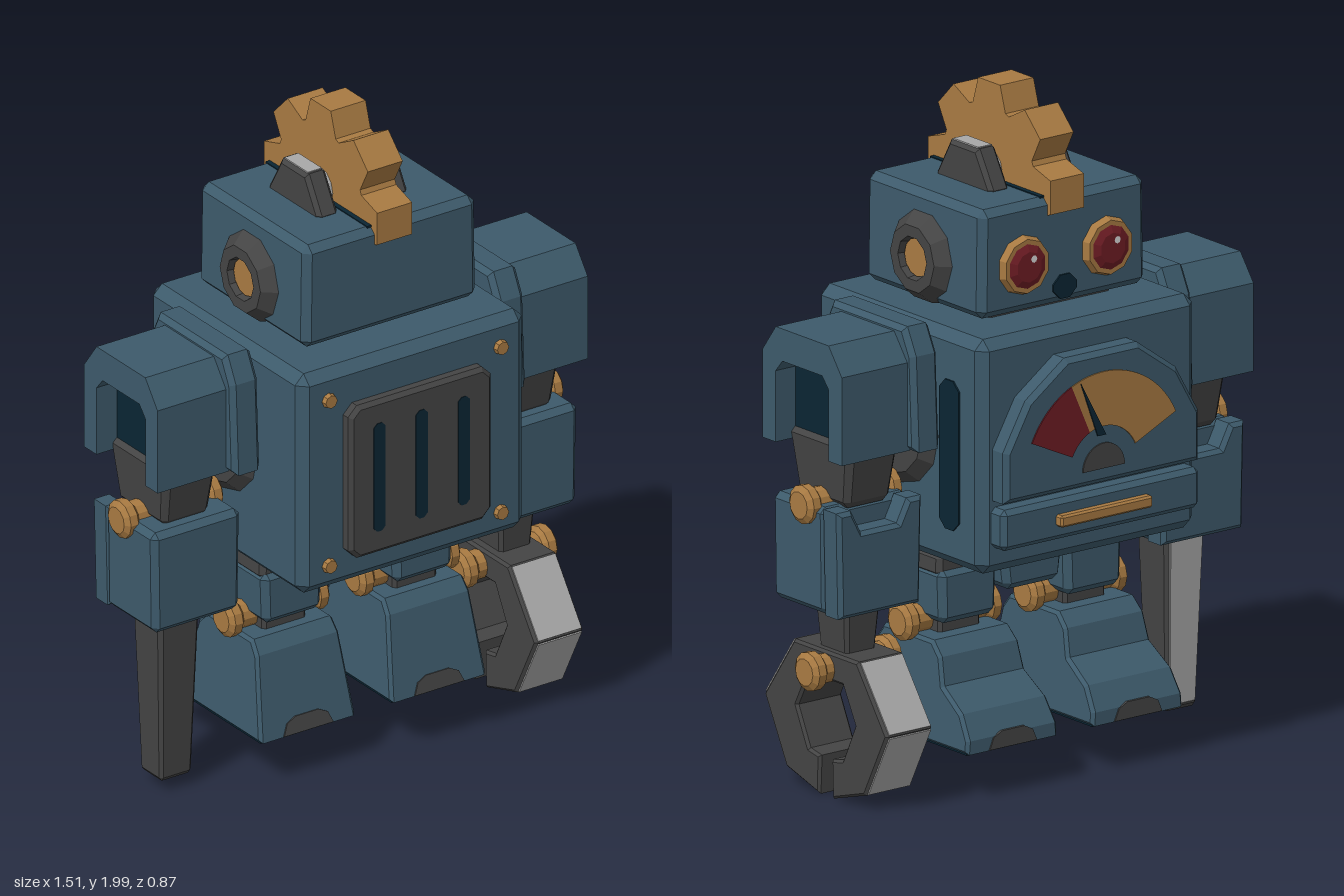
import * as THREE from 'three';
import { ConvexGeometry } from 'three/addons/geometries/ConvexGeometry.js';

const mat = (name, color) => {
  const m = new THREE.MeshStandardMaterial({ color });
  m.name = name;
  return m;
};

export function createModel() {
  const root = new THREE.Group();
  root.name = 'robot';
  const blue = mat('blue paint', 0x3d5a6b), dark = mat('dark steel', 0x444444);
  const silver = mat('silver', 0xa8a8a8), gold = mat('brass', 0xa87a42);
  const navy = mat('dark recess', 0x0a2533), red = mat('red glass', 0x6e1c24);
  const white = mat('glint', 0xd8d8d8);

  // Adds a faceted mesh
  const add = (name, geo, material, x = 0, y = 0, z = 0, parent = root) => {
    const g = geo.index ? geo.toNonIndexed() : geo;
    g.computeVertexNormals();
    const m = new THREE.Mesh(g, material);
    m.name = name;
    m.position.set(x, y, z);
    parent.add(m);
    return m;
  };

  // Chamfered box; bottom face scaled by bx, bz, top face by tx, tz
  const box = (w, h, d, c = 0.02, { bx = 1, bz = 1, tx = 1, tz = 1 } = {}) => {
    const pts = [];
    for (const sx of [-1, 1]) for (const sy of [-1, 1]) for (const sz of [-1, 1])
      for (let k = 0; k < 3; k++) {
        const x = sx * (w / 2 - (k === 0 ? 0 : c));
        const y = sy * (h / 2 - (k === 1 ? 0 : c));
        const z = sz * (d / 2 - (k === 2 ? 0 : c));
        const t = y / h + 0.5;
        pts.push(new THREE.Vector3(x * (bx + (tx - bx) * t), y, z * (bz + (tz - bz) * t)));
      }
    return new ConvexGeometry(pts);
  };

  const shapeOf = (pts) => new THREE.Shape(pts.map((p) => new THREE.Vector2(...p)));
  const mirrorPts = (pts) => [...pts, ...pts.map(([a, b]) => [-a, b]).reverse()];

  // Extrusion along z, centred, with an optional inward bevel
  const slab = (shape, depth, b = 0) => new THREE.ExtrudeGeometry(shape, {
    depth: depth - 2 * b, bevelEnabled: b > 0, bevelSize: b, bevelOffset: -b,
    bevelThickness: b, bevelSegments: 1, curveSegments: 10,
  }).translate(0, 0, -depth / 2 + b);
  // Profile drawn in (z, y), extruded along x
  const slabX = (shape, depth, b = 0) => slab(shape, depth, b).rotateY(-Math.PI / 2);

  const rod = (r, len, n = 10) => new THREE.CylinderGeometry(r, r, len, n).rotateZ(Math.PI / 2);
  const lathe = (pts, n) => new THREE.LatheGeometry(pts.map((p) => new THREE.Vector2(...p)), n);

  // Hinge pin with rounded heads at both ends
  const pin = (name, x, y, z, len) => {
    const h = len / 2, r = 0.057;
    const pts = [[0, -h], [r * 0.7, -h], [r, -h + 0.012], [r, -h + 0.038], [r * 0.75, -h + 0.05]];
    const full = [...pts, ...pts.map(([a, b]) => [a, -b]).reverse()];
    add(name, lathe(full, 12).rotateZ(Math.PI / 2), gold, x, y, z);
  };

  // Rounded slot outline
  const slot = (w, h) => {
    const a = w / 2, b = h / 2, c = w * 0.3;
    return shapeOf([[-a, -b + c], [-a + c, -b], [a - c, -b], [a, -b + c], [a, b - c], [a - c, b], [-a + c, b], [-a, b - c]]);
  };

  // Torso
  add('torso', box(0.78, 0.69, 0.755, 0.03), blue, 0, 1.035, 0.022);
  add('neck', box(0.44, 0.08, 0.4, 0.01), dark, 0, 1.39, 0.025);
  for (const s of [-1, 1])
    add('sideVent', slabX(slot(0.09, 0.44), 0.008), navy, s * 0.391, 1.02, -0.215);

  // Grille and bolts on the +z side
  add('grille', slab(slot(0.49, 0.48).getPoints().length && shapeOf(mirrorPts([
    [0.215, -0.24], [0.245, -0.21], [0.245, 0.21], [0.215, 0.24]])), 0.06, 0.012), dark, 0, 1.02, 0.405);
  for (const x of [-0.145, 0, 0.145])
    add('grilleSlot', slab(slot(0.04, 0.34), 0.006), navy, x, 1.02, 0.434);
  for (const x of [-0.295, 0.295]) for (const y of [0.77, 1.29])
    add('bolt', new THREE.CylinderGeometry(0.02, 0.025, 0.03, 8).rotateX(Math.PI / 2), gold, x, y, 0.4);

  // Gauge on the -z side
  add('gaugePanel', slab(shapeOf(mirrorPts([
    [0.35, 0.91], [0.35, 1.06], [0.27, 1.2], [0.13, 1.3]])), 0.09, 0.015), blue, 0, 0, -0.372);
  const sector = (name, r0, r1, a0, a1, material, z) => {
    const p = new THREE.Shape();
    p.absarc(0, 0, r1, a0, a1, false);
    p.absarc(0, 0, r0, a1, a0, true);
    add(name, slab(p, 0.006), material, 0, 0.955, z);
  };
  const deg = Math.PI / 180;
  sector('gaugeRed', 0.125, 0.285, 25 * deg, 66 * deg, red, -0.418);
  sector('gaugeScale', 0.125, 0.285, 66 * deg, 155 * deg, gold, -0.418);
  sector('gaugeHub', 0.001, 0.075, 0, Math.PI, dark, -0.418);
  add('needle', slab(shapeOf([[-0.005, 0.1], [0.025, 0.1], [0.085, 0.265]]), 0.004), navy, 0, 0.955, -0.423);
  add('gaugeLip', box(0.71, 0.12, 0.1, 0.015), blue, 0, 0.83, -0.362);
  add('lipBar', box(0.33, 0.035, 0.04, 0.006), gold, 0, 0.83, -0.417);

  // Head
  add('head', box(0.6, 0.32, 0.53, 0.022, { tx: 0.985 }), blue, 0, 1.56, 0.025);
  add('mouth', slab(slot(0.085, 0.07), 0.008), navy, 0, 1.45, -0.241);
  add('gearSlot', new THREE.BoxGeometry(0.15, 0.006, 0.5), navy, 0, 1.72, 0.025);
  for (const s of [-1, 1]) {
    const ear = lathe([[0.14, 0], [0.135, 0.025], [0.1, 0.065], [0.065, 0.065], [0.06, 0.035], [0, 0.035]], 10);
    add('ear', ear.rotateZ(-s * Math.PI / 2), dark, s * 0.272, 1.53, 0.025);
    add('earCore', rod(0.056, 0.04, 12), gold, s * 0.3, 1.53, 0.025);
    const eye = (name, r0, r1, len, m, z) => add(name,
      new THREE.CylinderGeometry(r0, r1, len, 10).rotateX(-Math.PI / 2), m, s * 0.15, 1.54, z);
    eye('eyeRim', 0.08, 0.09, 0.03, gold, -0.248);
    eye('eyeLens', 0.045, 0.07, 0.012, red, -0.267);
    add('eyeGlint', new THREE.CircleGeometry(0.011, 8).rotateY(Math.PI), white, s * 0.15 - 0.015, 1.562, -0.2745);
    // Crest brackets
    const hex = Array.from({ length: 6 }, (_, i) => [0.127 * Math.cos(i * 60 * deg), 0.127 * Math.sin(i * 60 * deg)]);
    add('crestBracket', slabX(shapeOf(hex), 0.07, 0.012), dark, s * 0.12, 1.722, 0.025);
    add('bracketCap', new THREE.BoxGeometry(0.048, 0.006, 0.115), silver, s * 0.12, 1.832, 0.025);
  }
  add('crestAxle', rod(0.06, 0.2, 12), silver, 0, 1.745, 0.025);

  // Crest gear with eight teeth
  const teeth = [];
  for (let i = 0; i < 8; i++)
    for (const [r, w] of [[0.2, -0.074], [0.278, -0.05], [0.278, 0.05], [0.2, 0.074]]) {
      const a = i * 45 * deg;
      teeth.push([r * Math.cos(a) - w * Math.sin(a), r * Math.sin(a) + w * Math.cos(a)]);
    }
  add('crestGear', slabX(shapeOf(teeth), 0.12), gold, 0, 1.722, 0.025);

  // Arms
  for (const s of [-1, 1]) {
    const X = s * 0.58, Z = 0.013;
    add('shoulderJoint', new THREE.CylinderGeometry(0.14, 0.19, 0.05, 12).rotateZ(-s * Math.PI / 2), dark, s * 0.4, 1.06, Z);
    add('shoulderPlate', slabX(shapeOf(mirrorPts([
      [0.218, 1.04], [0.205, 1.32], [0.165, 1.4]])), 0.095, 0.015), blue, s * 0.457, 0, 0.018);
    add('shoulderCover', slabX(shapeOf([
      [0.18, 1.04], [0.18, 1.3], [0.12, 1.38], [-0.12, 1.38], [-0.18, 1.3], [-0.18, 1.04],
      [-0.12, 1.04], [-0.12, 1.25], [-0.09, 1.285], [0.09, 1.285], [0.12, 1.25], [0.12, 1.04]]), 0.245), blue, s * 0.6175, 0, 0.015);
    add('shoulderRecess', new THREE.BoxGeometry(0.1, 0.24, 0.238), navy, s * 0.62, 1.166, 0.015);
    add('upperArm', box(0.19, 0.2, 0.29, 0.02, { bx: 0.84, bz: 0.75 }), dark, s * 0.59, 0.98, Z);
    add('elbow', box(0.15, 0.14, 0.1, 0.02), dark, X, 0.885, Z);
    pin('elbowPin', s * 0.585, 0.885, Z, 0.34);
    add('forearm', box(0.305, 0.315, 0.24, 0.018, { bx: 0.97 }), blue, X, 0.732, 0.045);
    add('forearmNotch', slab(shapeOf(mirrorPts([
      [0.145, -0.157], [0.152, 0.157], [0.1, 0.157], [0.065, 0.09]])), 0.08, 0.012), blue, X, 0.732, -0.1);
  }

  // Claw on the left arm
  add('clawWrist', box(0.13, 0.19, 0.15, 0.012, { bx: 0.78, bz: 0.8 }), dark, 0.58, 0.495, 0.01);
  pin('clawPin', 0.577, 0.39, 0.01, 0.32);
  const outer = [[0.03, 0.01], [0.18, 0.055], [0.28, 0.25], [0.145, 0.44]];
  const inner = [[0.025, 0.125], [0.075, 0.135], [0.13, 0.25], [0.075, 0.355]];
  const flip = (pts) => pts.map(([a, b]) => [-a, b]);
  const claw = [...outer, ...flip(outer).reverse(), ...flip(inner), ...[...inner].reverse()];
  add('claw', slabX(shapeOf(claw), 0.165, 0.008), dark, 0.578, 0, 0.01);
  // Bright outer faces of the claw
  for (const s of [-1, 1]) for (let i = 1; i < 3; i++) {
    const [a, b] = outer[i], [c, d] = outer[i + 1];
    const len = Math.hypot(c - a, d - b);
    const m = add('clawFacet', new THREE.BoxGeometry(0.149, len * 0.96, 0.008), silver,
      0.578, (b + d) / 2, 0.01 + s * (a + c) / 2);
    m.rotation.x = s * Math.atan2(c - a, d - b);
  }

  // Blade on the right arm
  const bladeTaper = { bx: 0.76, bz: 0.72 };
  add('blade', box(0.142, 0.54, 0.14, 0.012, bladeTaper), dark, -0.582, 0.315, 0.012);
  const face = add('bladeFace', box(0.12, 0.51, 0.008, 0.002, { bx: 0.76 }), silver, -0.582, 0.318, -0.049);
  face.rotation.x = -Math.atan2(0.0196, 0.54);

  // Pelvis
  add('pelvis', box(0.23, 0.13, 0.24, 0.02, { bx: 0.85 }), blue, 0, 0.6, 0.015);
  add('hipPost', new THREE.CylinderGeometry(0.06, 0.06, 0.06, 10), gold, 0, 0.675, 0.015);

  // Legs
  for (const s of [-1, 1]) {
    const X = s * 0.225;
    add('hip', box(0.205, 0.07, 0.2, 0.015, { tx: 0.97 }), dark, X, 0.645, 0.017);
    add('hipPost', new THREE.CylinderGeometry(0.05, 0.05, 0.04, 10), dark, X, 0.685, 0.017);
    add('thigh', box(0.21, 0.16, 0.23, 0.02, { bx: 0.95 }), blue, X, 0.555, 0.017);
    add('ankle', box(0.15, 0.12, 0.14, 0.01), dark, X, 0.46, 0.017);
    pin('anklePin', X, 0.473, 0.017, 0.345);

    // Foot narrows towards the top
    const foot = slabX(shapeOf([[0.2, 0], [0.15, 0.25], [0.12, 0.29], [-0.1, 0.29], [-0.14, 0.25],
      [-0.16, 0.17], [-0.25, 0.11], [-0.29, 0.04], [-0.29, 0]]), 0.33, 0.01);
    const p = foot.attributes.position;
    for (let i = 0; i < p.count; i++) p.setX(i, p.getX(i) * (1 - 0.55 * p.getY(i)));
    add('foot', foot, blue, X, 0.15, 0);
    add('sole', new THREE.BoxGeometry(0.315, 0.006, 0.47), navy, X, 0.15, -0.045);
    const cap = shapeOf(mirrorPts([[0.085, 0], [0.07, 0.035], [0.04, 0.05]]));
    add('toeCap', slab(cap, 0.008), dark, X, 0.152, -0.29);
    const heel = add('heelCap', slab(cap, 0.008), dark, X, 0.152, 0.2);
    heel.rotation.x = -Math.atan2(0.05, 0.25);
  }
  return root;
}
